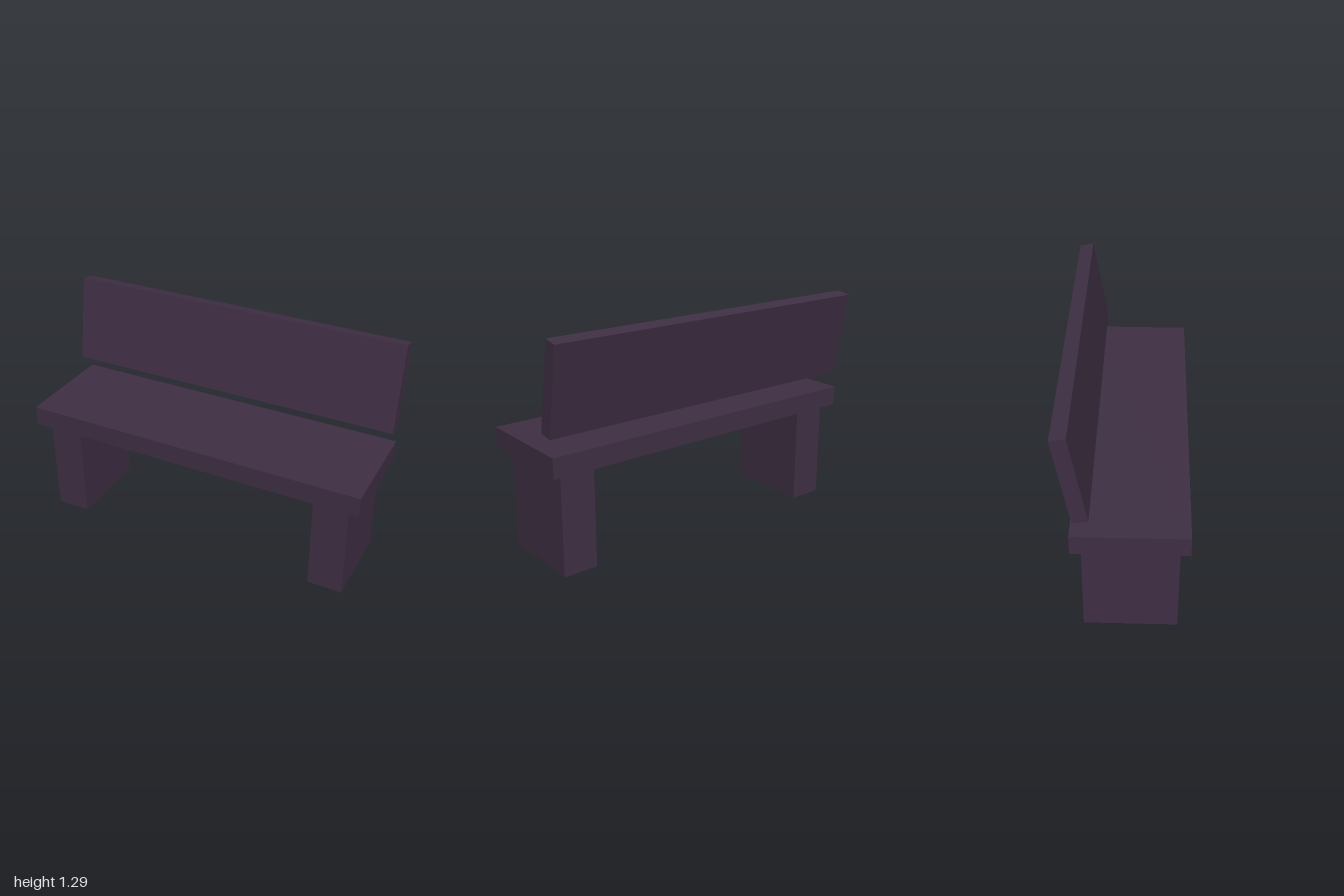
import * as THREE from 'three';

export function createModel() {
  const bench = new THREE.Group();
  bench.name = 'bench';

  const darkWood = new THREE.MeshStandardMaterial({ color: 0x3f2f44 });
  darkWood.name = 'dark plum wood';

  function addBlock(name, size, position) {
    const mesh = new THREE.Mesh(new THREE.BoxGeometry(...size), darkWood);
    mesh.name = name;
    mesh.position.set(...position);
    bench.add(mesh);
    return mesh;
  }

  // Seat slab
  addBlock('seat', [2, 0.113, 0.6], [0, 0.6365, 0.034]);

  // Slab legs, mirrored
  for (const side of [1, -1]) {
    addBlock(side > 0 ? 'leftLeg' : 'rightLeg', [0.2, 0.58, 0.5], [side * 0.833, 0.29, 0.035]);
  }

  // Backrest floats above the seat and leans back ten degrees
  const backrest = addBlock('backrest', [2, 0.5, 0.082], [0, 1.036, -0.249]);
  backrest.rotation.x = THREE.MathUtils.degToRad(-10);

  return bench;
}
